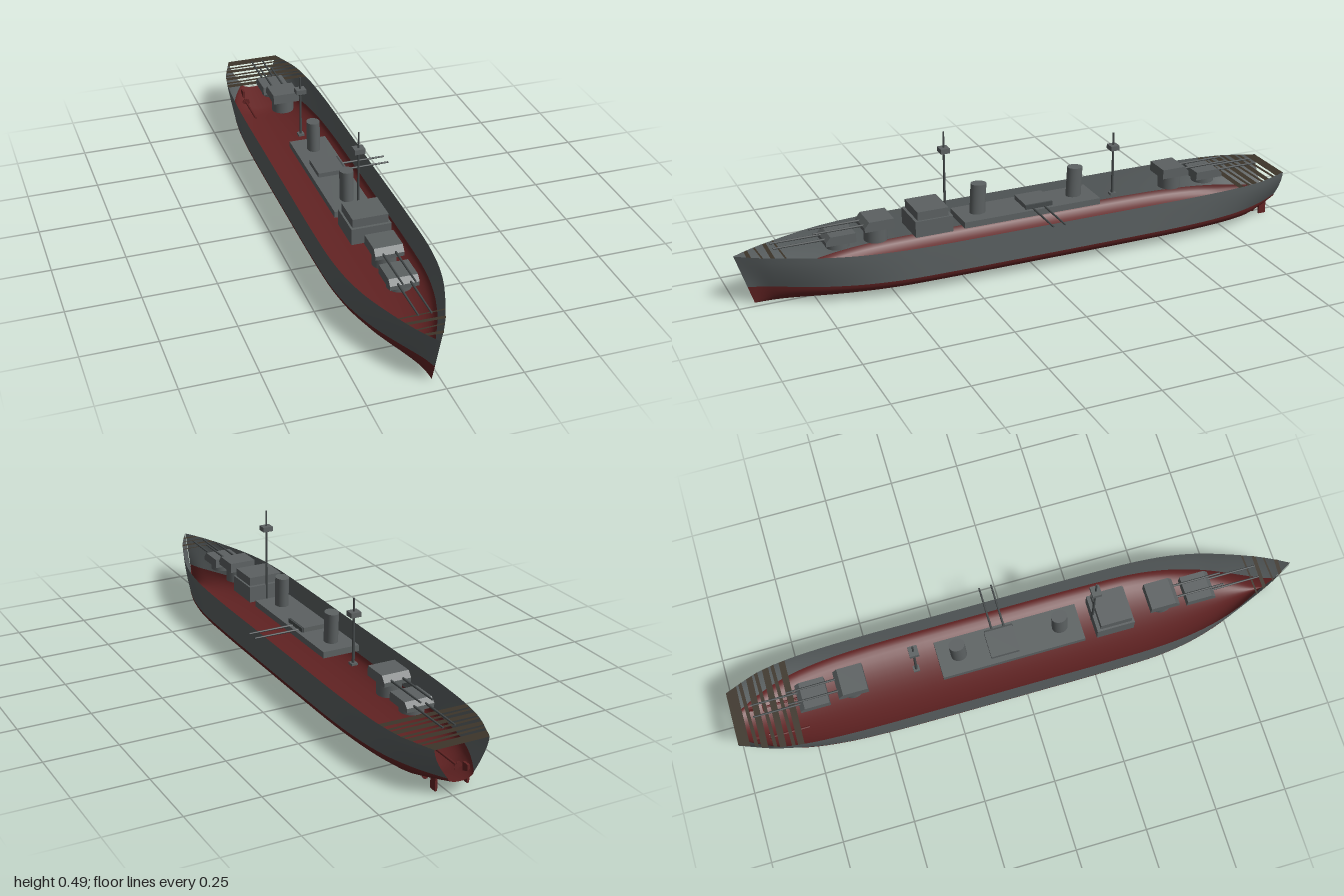
import * as THREE from 'three';

const mat = (name, color, side = THREE.FrontSide) => {
  const m = new THREE.MeshStandardMaterial({ color, side });
  m.name = name;
  return m;
};

export function createModel() {
  const model = new THREE.Group();
  model.name = 'warship';
  const ship = new THREE.Group();
  ship.name = 'ship';
  ship.position.x = -0.025;
  model.add(ship);

  const hullGrey = mat('hullGrey', 0x5a6061, THREE.DoubleSide);
  const keelRed = mat('keelRed', 0x622323, THREE.DoubleSide);
  const grey = mat('superstructureGrey', 0x5c6162);
  const dark = mat('gunGrey', 0x454a4b);
  const wood = mat('deckWood', 0x3d352a, THREE.DoubleSide);

  const add = (name, geo, m, x, y, z, parent = ship) => {
    const mesh = new THREE.Mesh(geo, m);
    mesh.name = name;
    mesh.position.set(x, y, z);
    parent.add(mesh);
    return mesh;
  };
  // Box given by its half width and its y and z ranges
  const block = (name, hw, y0, y1, z0, z1, m = grey, x = 0, parent = ship) =>
    add(name, new THREE.BoxGeometry(hw * 2, y1 - y0, z1 - z0), m, x, (y0 + y1) / 2, (z0 + z1) / 2, parent);

  // Hull stations from bow to stern: z, half width at deck, half width at waterline
  const stations = [
    [1, 0.001, 0.001], [0.95, 0.03, 0.016], [0.9, 0.055, 0.036], [0.8, 0.095, 0.075], [0.7, 0.128, 0.112],
    [0.6, 0.149, 0.14], [0.48, 0.161, 0.158], [0.3, 0.165, 0.164], [0, 0.165, 0.165], [-0.3, 0.165, 0.165],
    [-0.5, 0.165, 0.163], [-0.65, 0.162, 0.155], [-0.78, 0.154, 0.136], [-0.88, 0.138, 0.105], [-0.95, 0.114, 0.073], [-1, 0.095, 0.045],
  ];
  const curve = new THREE.CatmullRomCurve3(stations.map((s) => new THREE.Vector3(...s)));
  const samples = curve.getPoints(60);
  const WATER = 0.065;
  const sheer = (z) => 0.17 + 0.012 * Math.max(0, (z - 0.3) / 0.7) ** 1.5;
  const keel = (z) => 0.004 + 0.042 * Math.max(0, (-z - 0.85) / 0.15);
  const rake = (y, z) => z - 0.06 * (1 - y / 0.182) * THREE.MathUtils.smoothstep(z, 0.7, 1);
  const halfWidth = (z) => {
    let i = 1;
    while (i < samples.length - 1 && samples[i].x > z) i++;
    const a = samples[i - 1], b = samples[i];
    return THREE.MathUtils.lerp(a.y, b.y, (a.x - z) / (a.x - b.x));
  };

  // Skin lofted through the stations; section(p, t) gives [x, y]
  const loft = (name, m, rows, section) => {
    const pos = [], idx = [];
    samples.forEach((p, i) => {
      for (let j = 0; j <= rows; j++) {
        const [x, y] = section(p, j / rows);
        pos.push(x, y, rake(y, p.x));
        if (i && j) {
          const d = i * (rows + 1) + j, c = d - 1, b = d - rows - 1, a = b - 1;
          idx.push(a, b, c, b, d, c);
        }
      }
    });
    const g = new THREE.BufferGeometry();
    g.setAttribute('position', new THREE.Float32BufferAttribute(pos, 3));
    g.setIndex(idx);
    g.computeVertexNormals();
    return add(name, g, m, 0, 0, 0);
  };
  const topside = (p, t) => [
    THREE.MathUtils.lerp(p.y, p.z, t ** 1.6),
    THREE.MathUtils.lerp(sheer(p.x), WATER, t),
  ];
  loft('leftTopside', hullGrey, 6, topside);
  loft('rightTopside', hullGrey, 6, (p, t) => {
    const [x, y] = topside(p, 1 - t);
    return [-x, y];
  });
  loft('underwaterHull', keelRed, 20, (p, t) => {
    const a = t * Math.PI;
    return [p.z * Math.cos(a), WATER - (WATER - keel(p.x)) * Math.sin(a)];
  });

  // Loose deck planks across the stern and bow
  const plank = (name, z0, z1, skew) => {
    const w0 = halfWidth(z0), w1 = halfWidth(z1);
    const s = new THREE.Shape([
      new THREE.Vector2(-w0, -z0), new THREE.Vector2(w0, -z0 + skew),
      new THREE.Vector2(w1, -z1), new THREE.Vector2(-w1, -z1 - skew),
    ]);
    const mesh = add(name, new THREE.ShapeGeometry(s), wood, 0, sheer(z0) - 0.001, 0);
    mesh.rotation.x = -Math.PI / 2;
  };
  for (let i = 0; i < 7; i++) plank('sternPlank', -0.785 - i * 0.03, -0.803 - i * 0.03, i % 2 ? 0.006 : -0.004);
  plank('sternEndPlank', -0.962, -1, 0);
  for (let i = 0; i < 4; i++) plank('bowPlank', 0.96 - i * 0.035, 0.95 - i * 0.035, i % 2 ? 0.004 : -0.003);

  // Midships house with a broadside gun pointing to the left
  block('deckHouse', 0.066, 0.163, 0.185, -0.275, 0.23);
  block('broadsideMount', 0.047, 0.185, 0.201, -0.1, 0);
  block('gunShield', 0.003, 0.178, 0.2, -0.098, 0.095 - 0.093, dark, 0.05);
  const barrel = (length) => new THREE.CylinderGeometry(0.003, 0.004, length, 10);
  for (const z of [-0.07, -0.027]) {
    add('broadsideBarrel', barrel(0.17), dark, 0.13, 0.185, z).rotation.z = -Math.PI / 2;
  }

  // Bridge
  block('bridgeBase', 0.068, 0.163, 0.22, 0.272, 0.405);
  block('bridgeTop', 0.061, 0.22, 0.25, 0.285, 0.395);

  // Funnels, slightly raked
  for (const z of [0.155, -0.205]) {
    const f = add('funnel', new THREE.CylinderGeometry(0.023, 0.023, 0.108, 24), grey, 0, 0.236, z);
    f.scale.z = 1.2;
    f.rotation.x = -0.05;
  }

  // Twin turret with sloped faces; dir is the way the barrels point
  const turret = (name, z, y0, y1, dir, length) => {
    const g = new THREE.Group();
    g.name = name;
    g.position.z = z;
    g.rotation.y = dir > 0 ? 0 : Math.PI;
    ship.add(g);
    const body = new THREE.Shape([
      new THREE.Vector2(-0.052, y0), new THREE.Vector2(0.052, y0), new THREE.Vector2(0.052, y0 + 0.014),
      new THREE.Vector2(0.036, y1), new THREE.Vector2(-0.05, y1),
    ]);
    const geo = new THREE.ExtrudeGeometry(body, { depth: 0.096, bevelEnabled: false });
    geo.translate(0, 0, -0.048);
    geo.rotateY(-Math.PI / 2);
    add('gunHouse', geo, grey, 0, 0, 0, g);
    add('barbette', new THREE.CylinderGeometry(0.04, 0.04, y0 - 0.155, 24), grey, 0, (y0 + 0.155) / 2, 0, g);
    for (const x of [-0.021, 0.021]) {
      add('barrel', barrel(length), dark, x, y0 + 0.016, 0.04 + length / 2, g).rotation.x = Math.PI / 2;
    }
  };
  turret('frontTurret', 0.655, 0.178, 0.21, 1, 0.18);
  turret('upperFrontTurret', 0.522, 0.204, 0.238, 1, 0.18);
  turret('upperRearTurret', -0.582, 0.204, 0.238, -1, 0.18);
  turret('rearTurret', -0.718, 0.176, 0.206, -1, 0.17);

  // Masts with lookout platforms
  const mast = (name, z, y0, y1, yp) => {
    add(name, new THREE.CylinderGeometry(0.003, 0.005, y1 - y0, 12), dark, 0, (y0 + y1) / 2, z);
    block('lookout', 0.018, yp, yp + 0.017, z - 0.016, z + 0.016);
  };
  mast('foreMast', 0.275, 0.165, 0.495, 0.422);
  mast('mainMast', -0.355, 0.165, 0.392, 0.33);
  block('mainMastFoot', 0.011, 0.16, 0.168, -0.366, -0.344);

  // Rudders, shafts and propellers
  for (const side of [-1, 1]) {
    block('rudder', 0.004, 0.005, 0.065, -0.957, -0.93, keelRed, side * 0.056);
    const shaft = add('propellerShaft', new THREE.CylinderGeometry(0.004, 0.004, 0.14, 10), keelRed, side * 0.056, 0.034, -0.83);
    shaft.rotation.x = Math.PI / 2;
    for (let i = 0; i < 3; i++) {
      const blade = block('propellerBlade', 0.005, 0.02, 0.048, -0.902, -0.898, keelRed, side * 0.056);
      blade.rotation.z = (i * Math.PI) / 3;
    }
  }
  return model;
}
